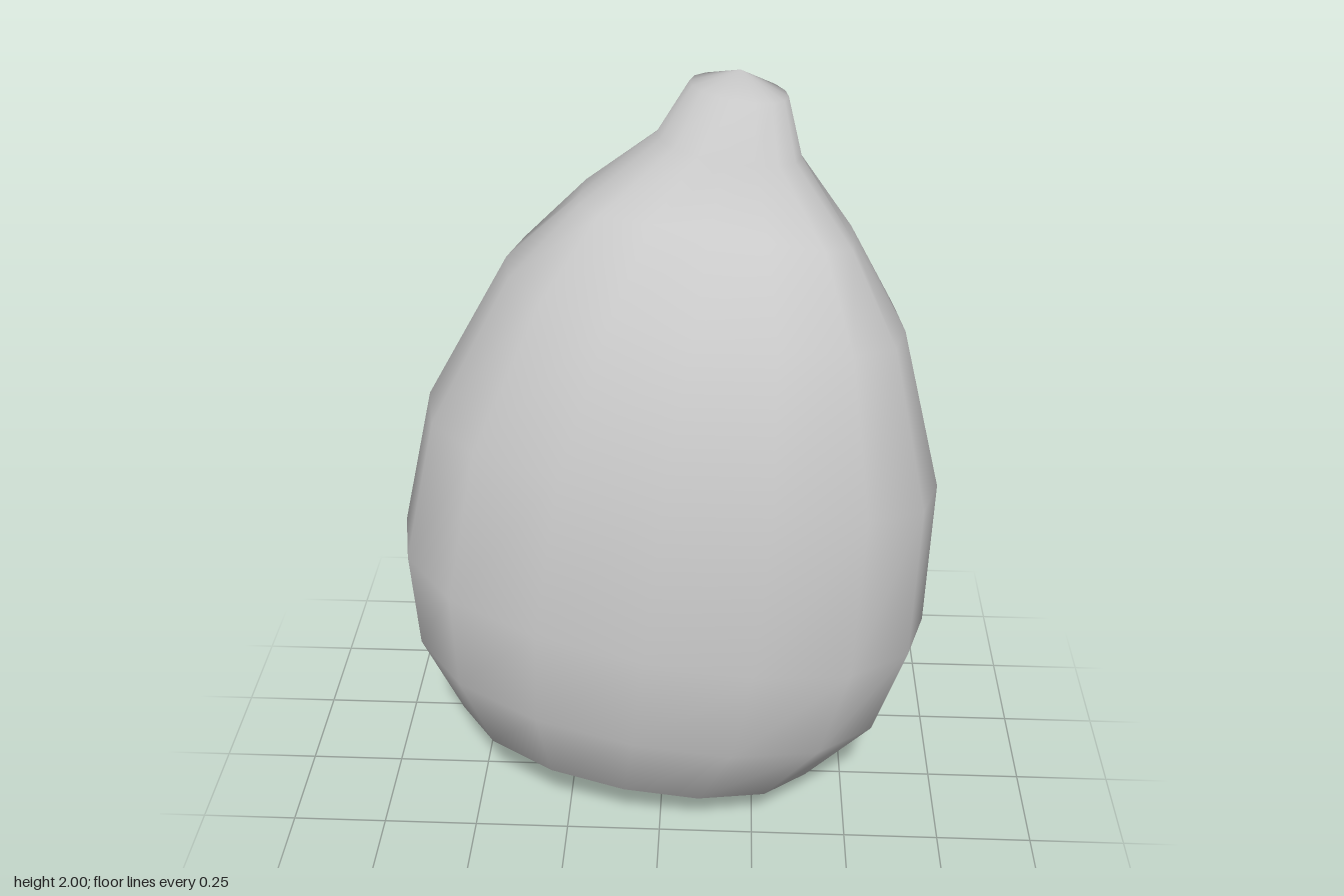
import * as THREE from 'three';

const SIDES = 16;
const SKEW = 0.12; // twists the oval section a little about the upright axis
const PHASE = 0.04;

// Tilted oval rings: left x, left y, right x, right y, middle y, front z, back z,
// and how far the oval swells towards a rounded rectangle
const RINGS = [
  [-0.36, 0.09, 0.18, 0.015, 0.06, 0.165, -0.225, 0.03],
  [-0.57, 0.25, 0.43, 0.125, 0.20, 0.32, -0.365, 0.03],
  [-0.67, 0.50, 0.60, 0.34, 0.435, 0.415, -0.435, 0.03],
  [-0.683, 0.78, 0.677, 0.60, 0.72, 0.447, -0.447, 0.03],
  [-0.59, 1.17, 0.68, 1.01, 1.17, 0.417, -0.405, 0.03],
  [-0.38, 1.54, 0.575, 1.41, 1.515, 0.285, -0.335, 0.05],
  [-0.20, 1.695, 0.445, 1.61, 1.70, 0.13, -0.26, 0.13],
  [-0.02, 1.85, 0.315, 1.81, 1.83, 0.05, -0.20, 0],
  [0.055, 1.97, 0.28, 1.945, 1.96, 0.01, -0.185, 0],
];
const BOTTOM = [-0.08, 0, -0.03];
const TOP = [0.17, 2, -0.09];

function bodyGeometry() {
  const positions = [...BOTTOM];
  for (const [xl, yl, xr, yr, ym, zf, zb, swell] of RINGS) {
    const yc = (yl + yr) / 2;
    for (let j = 0; j < SIDES; j++) {
      const t = (j / SIDES) * Math.PI * 2 + PHASE;
      const c = Math.cos(t), s = Math.sin(t);
      const full = 1 + swell * Math.sin(2 * t) ** 2;
      positions.push(
        (xl + xr) / 2 + ((xr - xl) / 2) * c * full,
        yc + ((yr - yl) / 2) * c + (ym - yc) * s * s,
        (zf + zb) / 2 + ((zf - zb) / 2) * Math.sin(t + SKEW) * full
      );
    }
  }
  positions.push(...TOP);

  // Skin between rings, with a fan at each end
  const index = [];
  const at = (i, j) => 1 + i * SIDES + (j % SIDES);
  const last = RINGS.length - 1;
  const tip = 1 + RINGS.length * SIDES;
  for (let j = 0; j < SIDES; j++) {
    index.push(0, at(0, j), at(0, j + 1));
    for (let i = 0; i < last; i++) {
      const a = at(i, j), b = at(i, j + 1), c = at(i + 1, j), d = at(i + 1, j + 1);
      index.push(a, c, b, b, c, d);
    }
    index.push(at(last, j), tip, at(last, j + 1));
  }

  const geometry = new THREE.BufferGeometry();
  geometry.setAttribute('position', new THREE.Float32BufferAttribute(positions, 3));
  geometry.setIndex(index);
  geometry.computeVertexNormals();
  return geometry;
}

export function createModel() {
  const group = new THREE.Group();
  group.name = 'seed';
  // Flattened, leaning body with a stubby tip, one smooth skin
  const body = new THREE.Mesh(bodyGeometry(), new THREE.MeshStandardMaterial({ color: 0xcccccc }));
  body.name = 'seedBody';
  group.add(body);
  return group;
}
